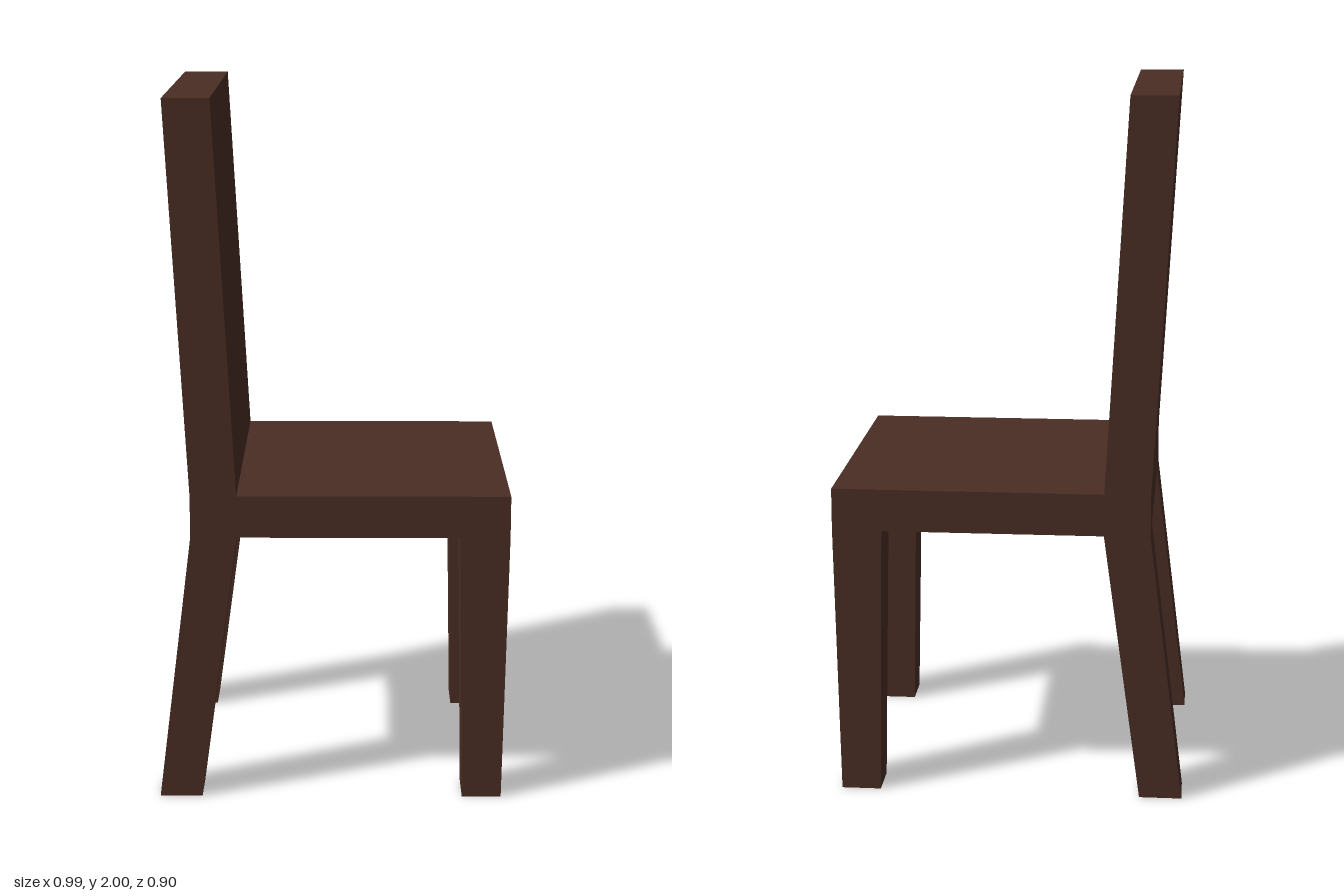
import * as THREE from 'three';

const darkWood = new THREE.MeshStandardMaterial({ color: 0x4a2d24 });
darkWood.name = 'darkWood';

const SEAT_BOTTOM = 0.78, SEAT_TOP = 0.9, HALF_WIDTH = 0.448;

// Box whose bottom and top rectangles [x0, x1, z0, z1] differ
function taperedBox(bottom, top, y0, y1) {
  const geo = new THREE.BoxGeometry(1, 1, 1);
  const p = geo.attributes.position;
  for (let i = 0; i < p.count; i++) {
    const up = p.getY(i) > 0;
    const r = up ? top : bottom;
    p.setXYZ(i, p.getX(i) < 0 ? r[0] : r[1], up ? y1 : y0, p.getZ(i) < 0 ? r[2] : r[3]);
  }
  geo.computeVertexNormals();
  return geo;
}

export function createModel() {
  const chair = new THREE.Group();
  chair.name = 'chair';
  const add = (name, geo) => {
    const mesh = new THREE.Mesh(geo, darkWood);
    mesh.name = name;
    chair.add(mesh);
  };

  // Seat slab, facing +x
  const seat = [-0.27, 0.495, -HALF_WIDTH, HALF_WIDTH];
  add('seat', taperedBox(seat, seat, SEAT_BOTTOM, SEAT_TOP));

  // Backrest: upright at seat height, then leaning back
  const profile = new THREE.Shape([
    [-0.4, SEAT_BOTTOM], [-0.27, SEAT_BOTTOM], [-0.27, SEAT_TOP],
    [-0.33, 2], [-0.46, 2], [-0.4, SEAT_TOP],
  ].map(([x, y]) => new THREE.Vector2(x, y)));
  const back = new THREE.ExtrudeGeometry(profile, { depth: 2 * HALF_WIDTH, bevelEnabled: false });
  back.translate(0, 0, -HALF_WIDTH);
  add('backrest', back);

  // Tapered legs, mirrored in z; the rear pair splays backwards
  for (const side of [-1, 1]) {
    const span = (inner, outer) => (side > 0 ? [inner, outer] : [-outer, -inner]);
    const topZ = span(0.305, HALF_WIDTH), footZ = span(0.316, 0.434);
    add('frontLeg', taperedBox([0.37, 0.482, ...footZ], [0.355, 0.495, ...topZ], 0, SEAT_BOTTOM));
    add('rearLeg', taperedBox([-0.498, -0.377, ...footZ], [-0.4, -0.27, ...topZ], 0, SEAT_BOTTOM));
  }

  return chair;
}
